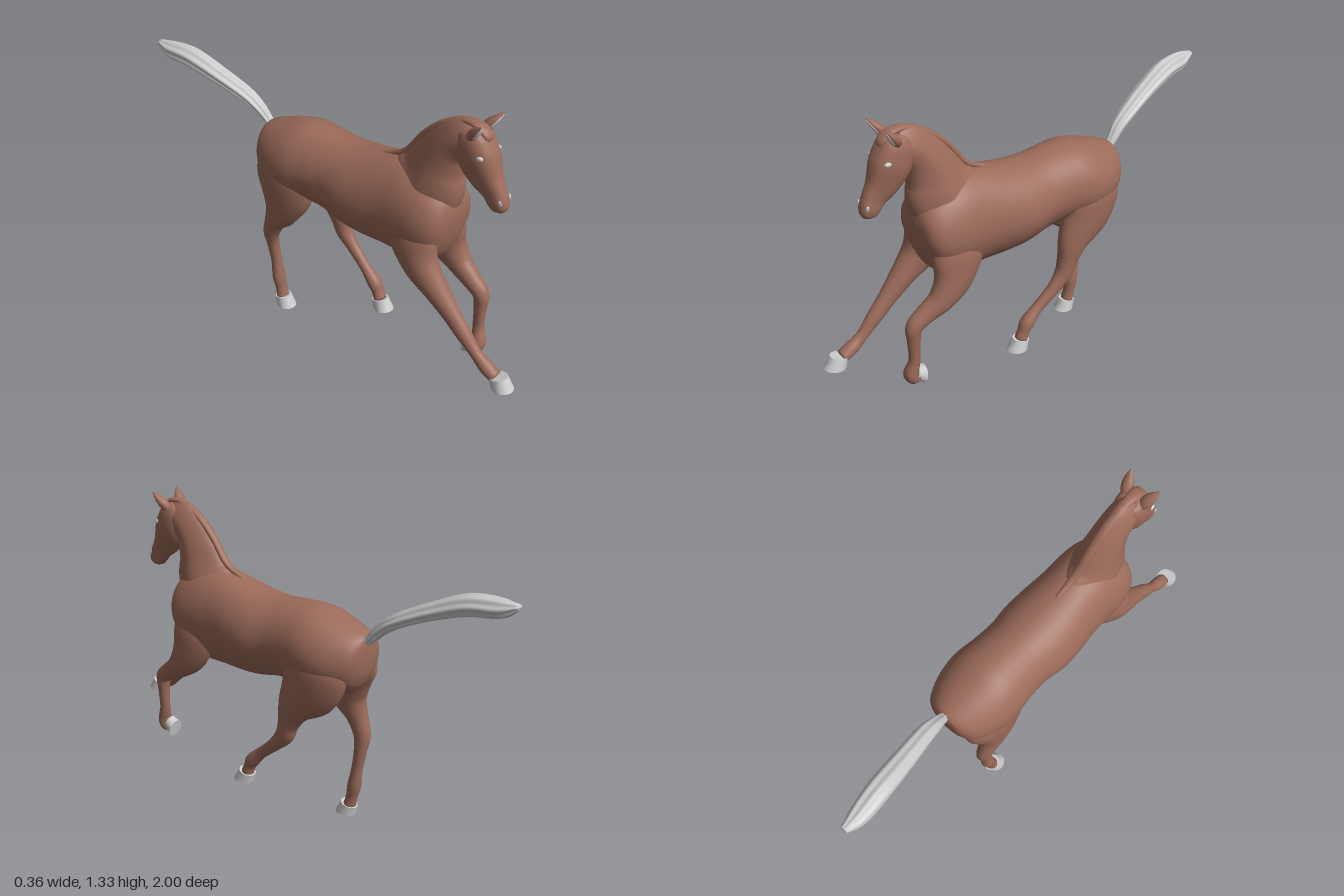
import * as THREE from 'three';
import { toCreasedNormals } from 'three/addons/utils/BufferGeometryUtils.js';

const coat = new THREE.MeshStandardMaterial({ color: 0x9c6b5a });
const grey = new THREE.MeshStandardMaterial({ color: 0xcccccc });

// Smooth skin over sections [x, y, z, half width, half depth] along a path.
// shape(angle) returns the unit outline [across, outward]; axis keeps all rings parallel.
function loft(sections, { sides = 28, steps = 5, axis, shape = a => [Math.cos(a), Math.sin(a)] } = {}) {
  const path = new THREE.CatmullRomCurve3(sections.map(s => new THREE.Vector3(s[0], s[1], s[2])), false, 'catmullrom');
  const size = new THREE.CatmullRomCurve3(sections.map(s => new THREE.Vector3(s[3], s[4], 0)), false, 'catmullrom');
  const rings = (sections.length - 1) * steps;
  const pos = [], index = [];
  for (let i = 0; i <= rings; i++) {
    const c = path.getPoint(i / rings), t = axis ?? path.getTangent(i / rings), r = size.getPoint(i / rings);
    const n = t.clone().cross(new THREE.Vector3(1, 0, 0)).normalize();
    const s = n.clone().cross(t);
    for (let j = 0; j < sides; j++) {
      const [u, v] = shape(j / sides * Math.PI * 2);
      const p = c.clone().addScaledVector(s, u * Math.max(r.x, 0.001)).addScaledVector(n, v * Math.max(r.y, 0.001));
      pos.push(p.x, p.y, p.z);
      if (i < rings) {
        const a = i * sides + j, b = i * sides + (j + 1) % sides;
        index.push(a, b, a + sides, b, b + sides, a + sides);
      }
    }
  }
  // end caps
  const first = pos.length / 3, last = rings * sides;
  pos.push(...path.getPoint(0).toArray(), ...path.getPoint(1).toArray());
  for (let j = 0; j < sides; j++) {
    const k = (j + 1) % sides;
    index.push(first, k, j, first + 1, last + j, last + k);
  }
  const g = new THREE.BufferGeometry();
  g.setAttribute('position', new THREE.Float32BufferAttribute(pos, 3));
  g.setIndex(index);
  g.computeVertexNormals();
  return g;
}

// Hoof: tapered cylinder leaning forward to the toe, coronet sloping to the heel
function hoofGeometry() {
  const g = new THREE.CylinderGeometry(0.036, 0.044, 0.048, 24, 2);
  const p = g.attributes.position;
  for (let i = 0; i < p.count; i++) {
    const y = p.getY(i), z = p.getZ(i);
    p.setZ(i, z * 1.08 - y * 0.35);
    if (y > 0.02) p.setY(i, y + z * 0.2);
  }
  return toCreasedNormals(g, 0.7);
}

export function createModel() {
  const horse = new THREE.Group();
  horse.name = 'horse';
  const add = (name, geometry, material = coat, parent = horse) => {
    const m = new THREE.Mesh(geometry, material);
    m.name = name;
    parent.add(m);
    return m;
  };

  // Torso: [z, top, bottom, half width] from rump to chest, narrower underneath
  const torso = [
    [-0.414, 0.885, 0.8, 0.03], [-0.402, 0.907, 0.73, 0.085], [-0.365, 0.926, 0.665, 0.13],
    [-0.28, 0.957, 0.62, 0.168], [-0.18, 0.985, 0.615, 0.18], [-0.08, 0.986, 0.63, 0.168],
    [0.02, 0.98, 0.625, 0.165], [0.12, 0.985, 0.605, 0.178], [0.22, 1.005, 0.597, 0.174],
    [0.32, 1.03, 0.597, 0.163], [0.42, 1.04, 0.597, 0.163], [0.5, 1.02, 0.615, 0.16],
    [0.56, 0.99, 0.665, 0.142], [0.595, 0.95, 0.745, 0.105], [0.61, 0.9, 0.83, 0.04],
  ].map(([z, top, bottom, w]) => [0, (top + bottom) / 2, z, w, (top - bottom) / 2]);
  add('torso', loft(torso, {
    sides: 44, axis: new THREE.Vector3(0, 0, 1),
    shape: a => [Math.cos(a) * (1 - 0.18 * Math.max(0, -Math.sin(a)) ** 2), Math.sin(a)],
  }));

  // Neck, thinner towards the crest
  add('neck', loft([
    [0, 0.84, 0.36, 0.08, 0.1], [0, 0.9, 0.42, 0.115, 0.16], [0, 0.985, 0.475, 0.102, 0.15],
    [0, 1.08, 0.505, 0.082, 0.115], [0, 1.165, 0.547, 0.069, 0.09],
    [0, 1.225, 0.61, 0.06, 0.08], [0, 1.245, 0.66, 0.045, 0.055],
  ], { sides: 36, shape: a => [Math.cos(a) * (1 - 0.3 * Math.max(0, Math.sin(a))), Math.sin(a)] }));

  // Mane ridge and forelock
  add('mane', loft([
    [0, 1.0, 0.23, 0.008, 0.006], [0, 1.055, 0.345, 0.018, 0.013], [0, 1.16, 0.425, 0.02, 0.014],
    [0, 1.238, 0.505, 0.02, 0.014], [0, 1.29, 0.6, 0.02, 0.013], [0, 1.295, 0.665, 0.027, 0.012],
    [0, 1.272, 0.705, 0.028, 0.012], [0, 1.25, 0.717, 0.018, 0.009],
  ], { sides: 16 }));

  // Head with slightly squared outline
  const square = v => Math.sign(v) * Math.abs(v) ** 0.8;
  add('head', loft([
    [0, 1.28, 0.635, 0.035, 0.03], [0, 1.265, 0.64, 0.055, 0.05], [0, 1.23, 0.655, 0.066, 0.069],
    [0, 1.165, 0.68, 0.067, 0.08], [0, 1.1, 0.717, 0.052, 0.066], [0, 1.053, 0.756, 0.038, 0.049],
    [0, 1.014, 0.78, 0.036, 0.041], [0, 0.988, 0.789, 0.029, 0.031], [0, 0.977, 0.791, 0.014, 0.015],
  ], { sides: 32, shape: a => [square(Math.cos(a)), square(Math.sin(a))] }));

  // Ears, eyes and nostrils, mirrored
  for (const [side, s] of [['left', 1], ['right', -1]]) {
    add(side + 'Ear', loft([
      [s * 0.042, 1.255, 0.66, 0.016, 0.018], [s * 0.05, 1.283, 0.678, 0.025, 0.02],
      [s * 0.061, 1.308, 0.699, 0.02, 0.014], [s * 0.073, 1.334, 0.72, 0.002, 0.002],
    ], { sides: 16 }));
    add(side + 'InnerEar', loft([
      [s * 0.046, 1.268, 0.686, 0.01, 0.004], [s * 0.051, 1.279, 0.692, 0.019, 0.006],
      [s * 0.062, 1.304, 0.708, 0.015, 0.005], [s * 0.072, 1.328, 0.721, 0.002, 0.002],
    ], { sides: 16 }), grey);
    const eye = add(side + 'Eye', new THREE.SphereGeometry(0.013, 16, 12), grey);
    eye.position.set(s * 0.057, 1.198, 0.717);
    eye.scale.set(0.7, 0.75, 1.2);
    const nostril = add(side + 'Nostril', new THREE.SphereGeometry(0.01, 12, 8), grey);
    nostril.position.set(s * 0.029, 1.028, 0.803);
    nostril.scale.set(0.6, 1.6, 0.8);
    nostril.rotation.z = s * -0.3;
  }

  // Legs from shoulder or hip to coronet, each with its hoof
  const legs = {
    frontLeftLeg: {
      path: [
        [0.07, 0.9, 0.43, 0.03, 0.06], [0.092, 0.76, 0.46, 0.064, 0.115], [0.105, 0.64, 0.495, 0.06, 0.095],
        [0.11, 0.56, 0.56, 0.05, 0.06], [0.1, 0.513, 0.63, 0.04, 0.043], [0.095, 0.468, 0.688, 0.034, 0.036],
        [0.093, 0.4, 0.695, 0.027, 0.028], [0.09, 0.3, 0.697, 0.023, 0.025], [0.08, 0.235, 0.712, 0.033, 0.031],
        [0.073, 0.203, 0.706, 0.037, 0.03], [0.072, 0.2, 0.685, 0.033, 0.028],
      ],
      hoof: [0.072, 0.204, 0.672], tilt: 1.35, scale: 0.88,
    },
    frontRightLeg: {
      path: [
        [-0.07, 0.9, 0.43, 0.03, 0.06], [-0.092, 0.77, 0.465, 0.065, 0.115], [-0.107, 0.66, 0.52, 0.064, 0.085],
        [-0.11, 0.57, 0.61, 0.05, 0.054], [-0.11, 0.49, 0.69, 0.036, 0.04], [-0.11, 0.43, 0.75, 0.032, 0.034],
        [-0.11, 0.36, 0.82, 0.024, 0.025], [-0.11, 0.322, 0.872, 0.03, 0.03], [-0.11, 0.298, 0.92, 0.03, 0.025],
      ],
      hoof: [-0.11, 0.287, 0.943], tilt: -0.12, scale: 1,
    },
    hindLeftLeg: {
      path: [
        [0.06, 0.9, -0.24, 0.03, 0.08], [0.09, 0.78, -0.22, 0.076, 0.155], [0.1, 0.67, -0.195, 0.074, 0.145],
        [0.109, 0.56, -0.125, 0.055, 0.085], [0.11, 0.47, -0.09, 0.042, 0.05], [0.11, 0.405, -0.068, 0.036, 0.043],
        [0.108, 0.34, -0.01, 0.027, 0.03], [0.1, 0.27, 0.07, 0.025, 0.026], [0.098, 0.215, 0.125, 0.033, 0.032],
        [0.098, 0.18, 0.145, 0.028, 0.027], [0.098, 0.142, 0.16, 0.03, 0.028],
      ],
      hoof: [0.098, 0.122, 0.172], tilt: -0.08, scale: 1,
    },
    hindRightLeg: {
      path: [
        [-0.06, 0.9, -0.25, 0.03, 0.08], [-0.09, 0.78, -0.235, 0.076, 0.15], [-0.1, 0.67, -0.225, 0.074, 0.145],
        [-0.112, 0.56, -0.245, 0.055, 0.09], [-0.115, 0.48, -0.285, 0.042, 0.052], [-0.113, 0.4, -0.315, 0.034, 0.04],
        [-0.105, 0.33, -0.315, 0.027, 0.03], [-0.1, 0.23, -0.303, 0.024, 0.026], [-0.1, 0.15, -0.292, 0.031, 0.031],
        [-0.1, 0.09, -0.28, 0.027, 0.026], [-0.1, 0.045, -0.27, 0.031, 0.028],
      ],
      hoof: [-0.1, 0.026, -0.258], tilt: -0.04, scale: 1,
    },
  };
  for (const [name, { path, hoof, tilt, scale }] of Object.entries(legs)) {
    const leg = new THREE.Group();
    leg.name = name;
    horse.add(leg);
    add(name + 'Limb', loft(path), coat, leg);
    const h = add(name + 'Hoof', hoofGeometry(), grey, leg);
    h.position.set(...hoof);
    h.rotation.x = tilt;
    h.scale.setScalar(scale);
  }

  // Tail streaming back, grooved like strands
  add('tail', loft([
    [0, 0.87, -0.385, 0.016, 0.016], [0, 0.9, -0.42, 0.022, 0.02], [-0.01, 0.95, -0.465, 0.03, 0.026],
    [-0.022, 0.995, -0.53, 0.037, 0.029], [-0.05, 1.05, -0.65, 0.042, 0.034], [-0.08, 1.103, -0.8, 0.045, 0.042],
    [-0.1, 1.113, -0.92, 0.037, 0.038], [-0.105, 1.132, -0.992, 0.016, 0.01],
  ], { sides: 48, shape: a => {
    const r = 1 + 0.08 * Math.cos(a * 7);
    return [Math.cos(a) * r, Math.sin(a) * r];
  } }), grey);

  return horse;
}
